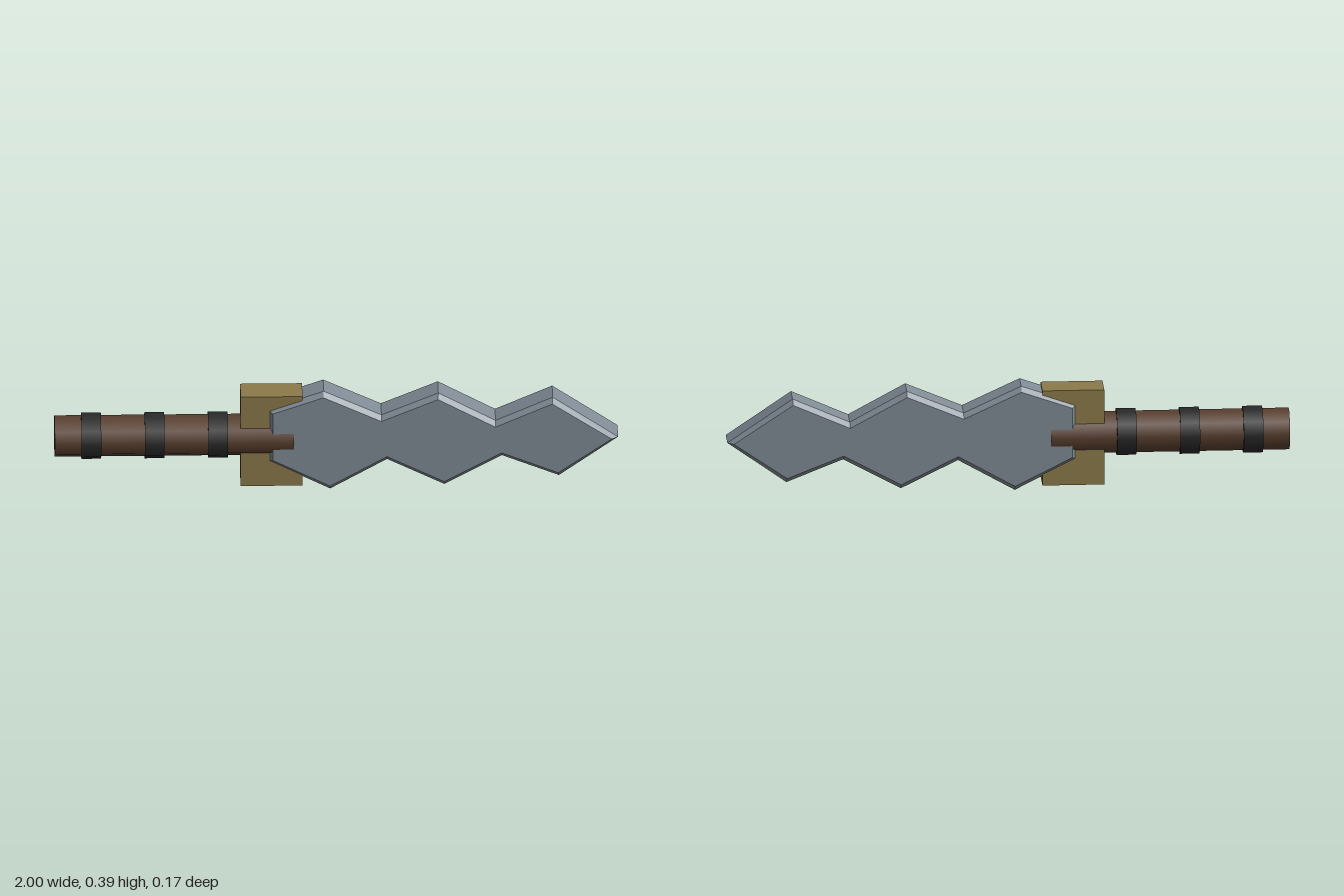
import * as THREE from 'three';

const steel = new THREE.MeshStandardMaterial({ name: 'steel', color: 0x808b95 });
const wood = new THREE.MeshStandardMaterial({ name: 'brown wood', color: 0x5a4030 });
const wrap = new THREE.MeshStandardMaterial({ name: 'black wrap', color: 0x292929 });
const brass = new THREE.MeshStandardMaterial({ name: 'dull brass', color: 0x8c7a4a });

const AXIS_Y = 0.195;

export function createModel() {
  const model = new THREE.Group();
  model.name = 'zigzagSword';

  const add = (name, geometry, material, x = 0, y = 0, z = 0) => {
    const mesh = new THREE.Mesh(geometry, material);
    mesh.name = name;
    mesh.position.set(x, y, z);
    model.add(mesh);
  };

  // Ten-sided rod lying along x
  const rod = (radius, length) =>
    new THREE.CylinderGeometry(radius, radius, length, 10).rotateZ(Math.PI / 2);

  // Blade: zigzag outline with a chamfer around both faces
  const outline = [
    [-0.242, 0.112], [-0.022, 0], [0.18, 0.115], [0.383, 0.014], [0.588, 0.126],
    [0.79, 0.045], [1, AXIS_Y], [0.768, 0.354], [0.565, 0.264], [0.362, 0.375],
    [0.16, 0.29], [-0.045, 0.386], [-0.242, 0.317],
  ];
  const shape = new THREE.Shape(outline.map(([x, y]) => new THREE.Vector2(x, y)));
  const blade = new THREE.ExtrudeGeometry(shape, {
    depth: 0.092,
    bevelThickness: 0.018,
    bevelSize: 0.016,
    bevelOffset: -0.016,
    bevelSegments: 1,
  });
  add('blade', blade, steel, 0, 0, -0.046);

  // Guard block
  add('guard', new THREE.BoxGeometry(0.22, 0.353, 0.106), brass, -0.23, 0.1925);

  // Handle runs through the guard and into the blade
  add('handle', rod(0.074, 0.85), wood, -0.575, AXIS_Y);

  // Grip bands
  [-0.87, -0.645, -0.42].forEach((x, i) => {
    add(`gripBand${i + 1}`, rod(0.083, 0.07), wrap, x, AXIS_Y);
  });

  return model;
}
